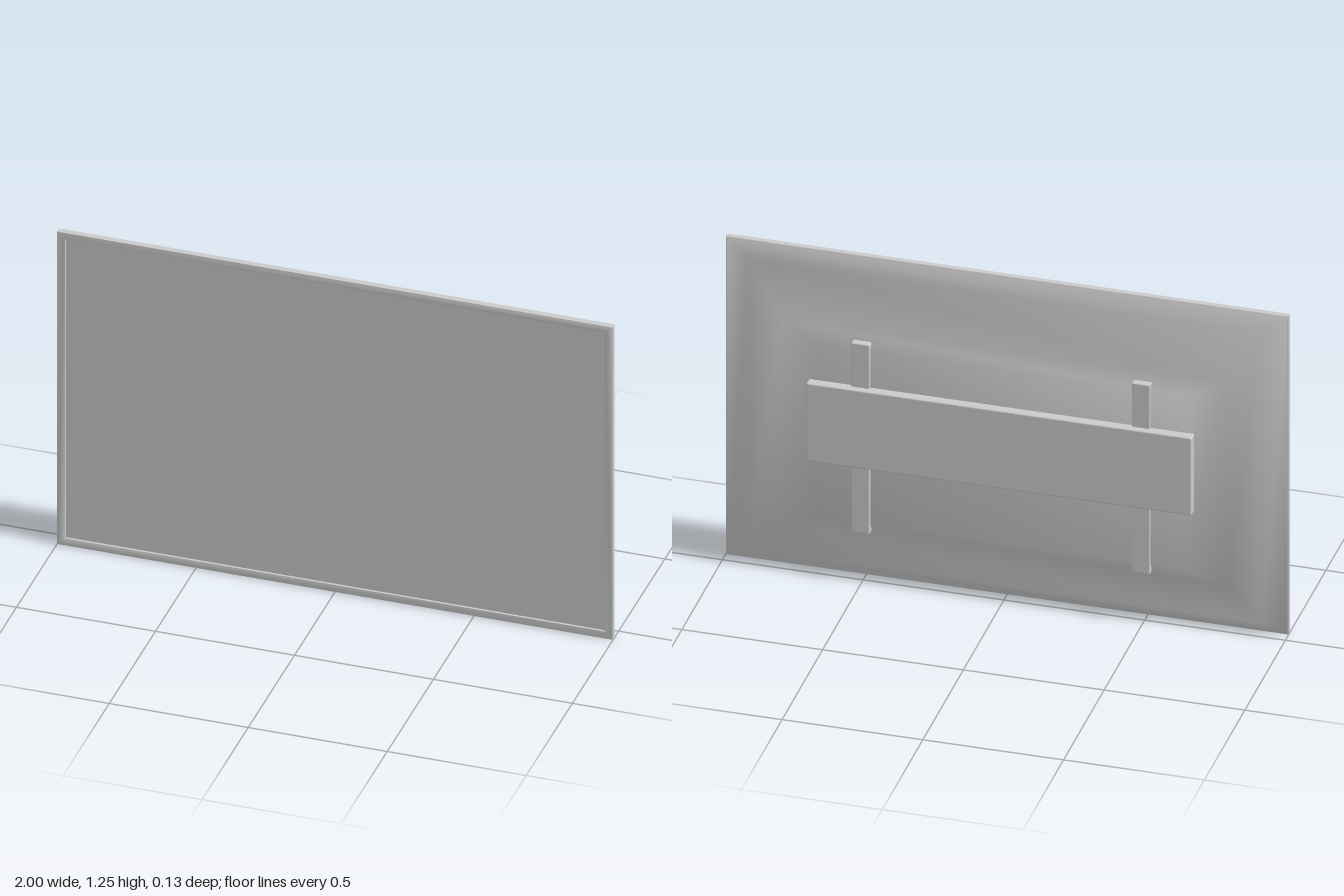
import * as THREE from 'three';
import { toCreasedNormals } from 'three/addons/utils/BufferGeometryUtils.js';
import { RoundedBoxGeometry } from 'three/addons/geometries/RoundedBoxGeometry.js';

const W = 1, H = 1.25;
const material = new THREE.MeshStandardMaterial({ color: 0xcccccc });

function add(group, name, geometry, x = 0, y = 0, z = 0) {
  const mesh = new THREE.Mesh(geometry, material);
  mesh.name = name;
  mesh.position.set(x, y, z);
  group.add(mesh);
}

// Rectangle outline from half-width and the bottom and top heights
function rectangle(Type, w, bottom, top) {
  return new Type([[-w, bottom], [w, bottom], [w, top], [-w, top]].map(([x, y]) => new THREE.Vector2(x, y)));
}

// Bezel: rectangular ring with a fine bevel
function bezelGeometry() {
  const b = 0.004;
  const shape = rectangle(THREE.Shape, W - b, b, H - b);
  shape.holes.push(rectangle(THREE.Path, 0.97 + b, 0.03 - b, 1.222 + b));
  const geometry = new THREE.ExtrudeGeometry(shape, {
    depth: 0.025 - 2 * b, bevelThickness: b, bevelSize: b, bevelSegments: 2,
  });
  geometry.translate(0, 0, 0.039 + b);
  return toCreasedNormals(geometry, 0.6);
}

// Rear shell: nested rectangles stepping backwards, closed by a flat cap
function shellGeometry() {
  const rings = [ // half-width, bottom, top, z
    [1, 0, 1.25, 0.041],
    [0.91, 0.054, 1.196, 0.004],
    [0.785, 0.18, 0.975, 0.004],
    [0.66, 0.242, 0.918, -0.032],
  ];
  const positions = [], index = [];
  rings.forEach(([w, bottom, top, z], r) => {
    positions.push(-w, bottom, z, w, bottom, z, w, top, z, -w, top, z);
    if (r === 0) return;
    for (let i = 0; i < 4; i++) {
      const j = (i + 1) % 4, a = (r - 1) * 4, b = r * 4;
      index.push(a + i, b + j, a + j, a + i, b + i, b + j);
    }
  });
  const c = (rings.length - 1) * 4;
  index.push(c, c + 2, c + 1, c, c + 3, c + 2);
  const geometry = new THREE.BufferGeometry();
  geometry.setAttribute('position', new THREE.Float32BufferAttribute(positions, 3));
  geometry.setIndex(index);
  return toCreasedNormals(geometry, 0.9);
}

export function createModel() {
  const model = new THREE.Group();
  model.name = 'wallScreen';

  add(model, 'bezel', bezelGeometry());
  add(model, 'screenPanel', new THREE.BoxGeometry(1.95, 1.2, 0.012), 0, 0.626, 0.05);
  add(model, 'rearShell', shellGeometry());

  // Wall mount: two upright rails and a wide plate across them
  for (const side of [-1, 1]) {
    add(model, side > 0 ? 'leftMountRail' : 'rightMountRail',
      new RoundedBoxGeometry(0.065, 0.745, 0.027, 2, 0.004), side * 0.498, 0.578, -0.0285);
  }
  add(model, 'mountPlate', new RoundedBoxGeometry(1.37, 0.306, 0.038, 2, 0.006), 0, 0.626, -0.045);

  return model;
}
